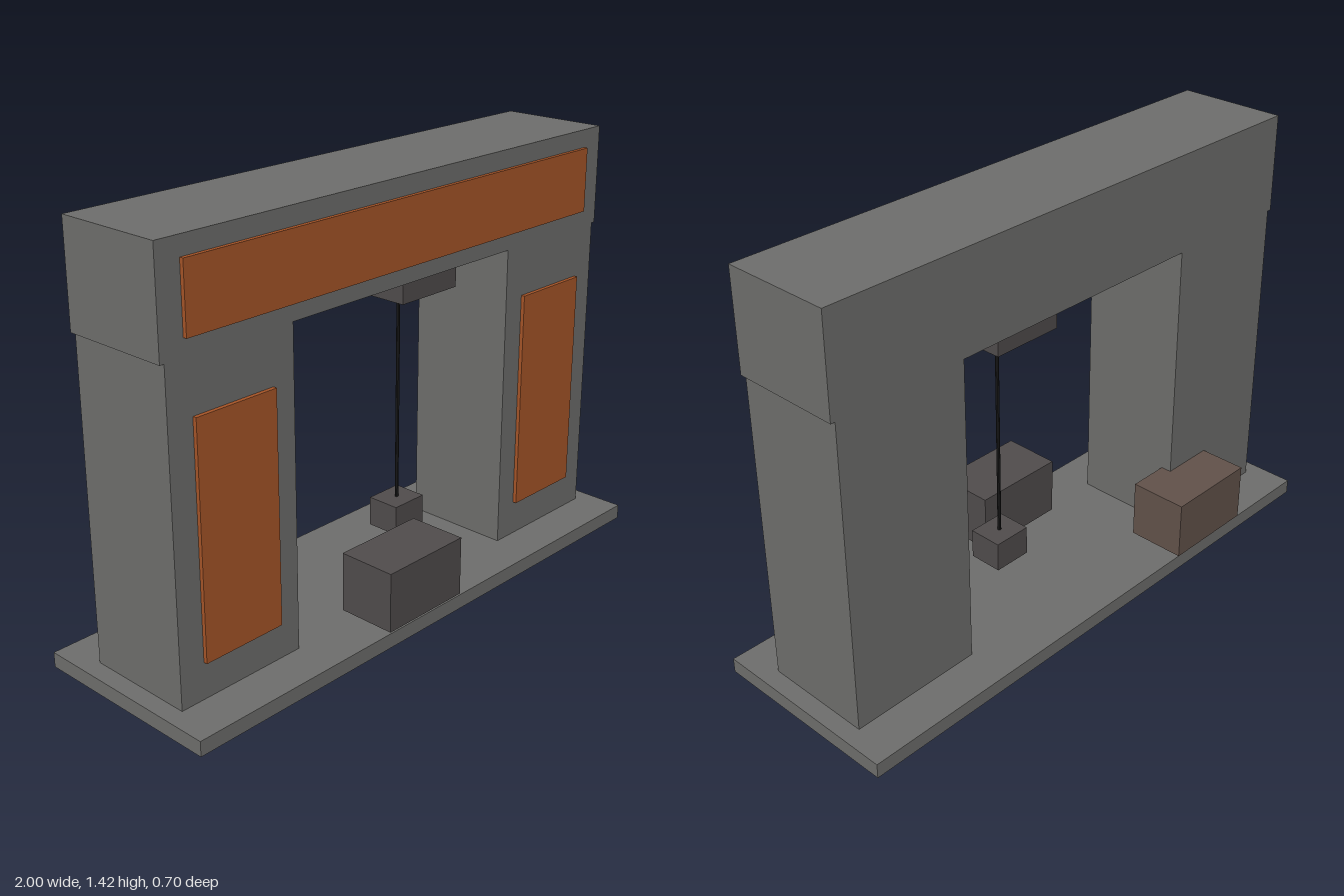
import * as THREE from 'three';

const material = (color) => new THREE.MeshStandardMaterial({ color, flatShading: true });
const stone = material(0x6e6e6c);
const orange = material(0xa65528);
const darkMetal = material(0x504c4c);
const brown = material(0x62524a);
const black = material(0x1c1c1c);

// Box given by its extents along each axis
function block(name, mat, [x0, x1], [y0, y1], [z0, z1]) {
  const mesh = new THREE.Mesh(new THREE.BoxGeometry(x1 - x0, y1 - y0, z1 - z0), mat);
  mesh.position.set((x0 + x1) / 2, (y0 + y1) / 2, (z0 + z1) / 2);
  mesh.name = name;
  return mesh;
}

export function createModel() {
  const model = new THREE.Group();
  model.name = 'gateway';
  const wall = [-0.187, 0.187];
  const panelDepth = [0.187, 0.2];

  // Floor slab and lintel with its long front panel
  model.add(
    block('floorSlab', stone, [-1, 1], [0, 0.05], [-0.333, 0.333]),
    block('lintel', stone, [-0.955, 0.955], [1.09, 1.42], wall),
    block('lintelPanel', orange, [-0.873, 0.873], [1.145, 1.36], panelDepth),
  );

  // Mirrored pillars with front panels
  for (const [side, s] of [['left', 1], ['right', -1]]) {
    const span = (a, b) => (s > 0 ? [a, b] : [-b, -a]);
    model.add(
      block(side + 'Pillar', stone, span(0.48, 0.94), [0.05, 1.09], wall),
      block(side + 'PillarPanel', orange, span(0.56, 0.853), [0.17, 0.92], panelDepth),
    );
  }

  // Hoist under the lintel: housing, cable and hanging weight
  const hoist = new THREE.Group();
  hoist.name = 'hoist';
  const cable = new THREE.Mesh(new THREE.CylinderGeometry(0.006, 0.006, 0.73, 8), black);
  cable.name = 'cable';
  cable.position.set(0.165, 0.635, 0);
  hoist.add(
    block('hoistHousing', darkMetal, [0.04, 0.29], [1.0, 1.09], [-0.13, 0.13]),
    cable,
    block('hangingWeight', darkMetal, [0.098, 0.231], [0.17, 0.27], [-0.058, 0.058]),
  );
  model.add(hoist);

  // Crates in front and behind
  model.add(
    block('frontCrate', darkMetal, [-0.25, 0.08], [0.07, 0.27], [0.15, 0.35]),
    block('backCrate', brown, [-0.667, -0.337], [0.07, 0.27], [-0.35, -0.15]),
  );

  return model;
}
